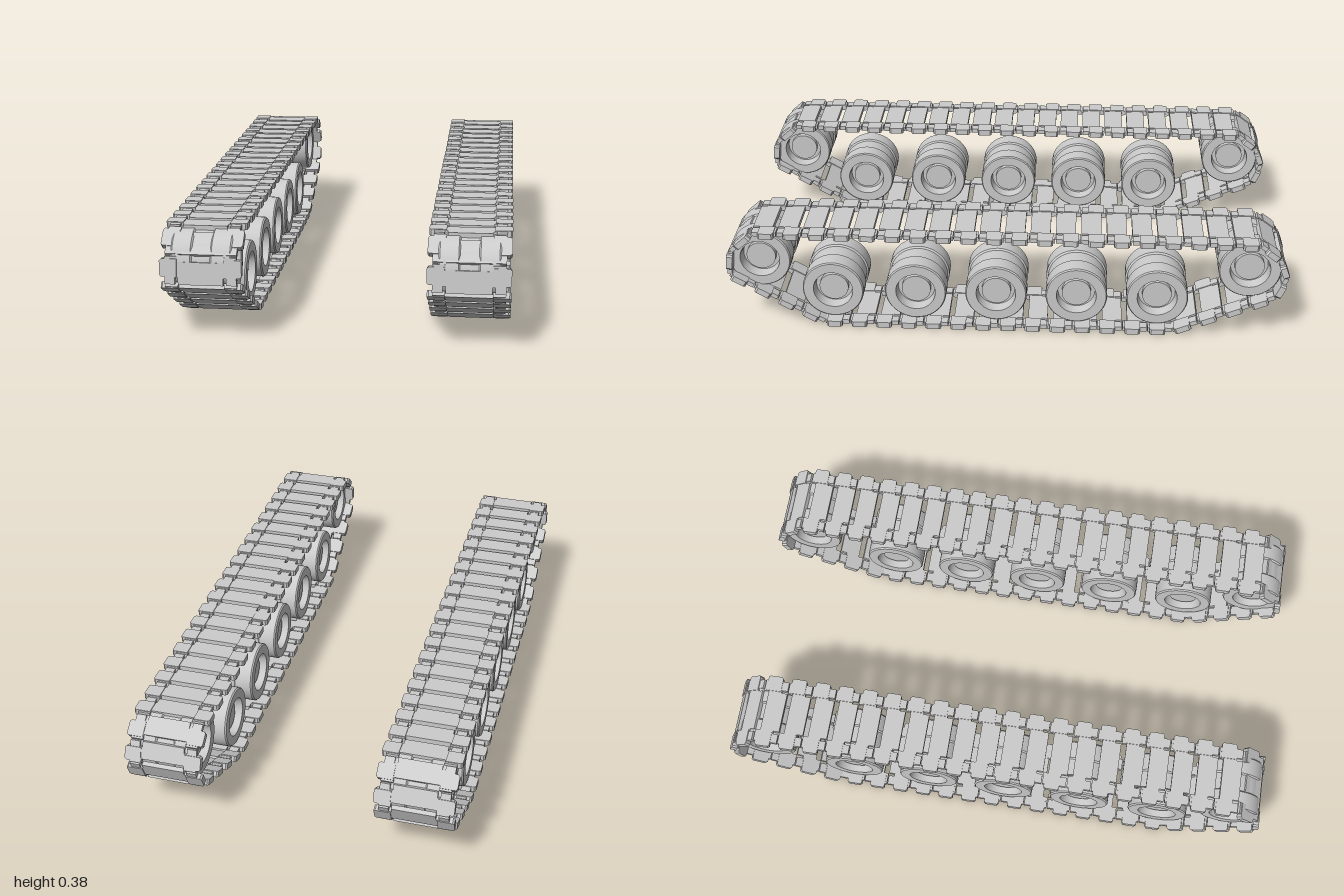
import * as THREE from 'three';
import { toCreasedNormals } from 'three/addons/utils/BufferGeometryUtils.js';

const material = new THREE.MeshStandardMaterial({ color: 0xcccccc });
const TRACK_X = 0.433;
const PITCH = 0.089;

// Centre line of the track as [z, y, number of links up to the next point]
const PATH = [
  [0.89, 0.367, 20], [-0.89, 0.367, 1], [-0.96, 0.315, 1], [-0.989, 0.24, 1],
  [-0.955, 0.16, 4], [-0.6, 0.011, 14], [0.65, 0.011, 4], [0.98, 0.2, 1],
  [0.97, 0.295, 1],
];

// Road wheels and the two raised end wheels as [z, y]
const WHEELS = [
  [0.871, 0.257], [0.617, 0.134], [0.32, 0.134], [0.032, 0.134],
  [-0.255, 0.134], [-0.542, 0.134], [-0.861, 0.26],
];

// Turned wheel: tyre with a shallow middle band, dished faces and a raised hub
function wheelGeometry() {
  const half = [
    [0, 0.078], [0.052, 0.078], [0.052, 0.06], [0.066, 0.06],
    [0.071, 0.1], [0.106, 0.1], [0.11, 0.095], [0.11, 0.035], [0.104, 0.03],
  ];
  const lower = half.map(([r, h]) => new THREE.Vector2(r, -h));
  const upper = half.map(([r, h]) => new THREE.Vector2(r, h)).reverse();
  const geometry = new THREE.LatheGeometry([...lower, ...upper], 40);
  geometry.rotateZ(-Math.PI / 2);
  return toCreasedNormals(geometry, 0.5);
}

// Flat plate outline mirrored across x, extruded and laid flat
function plate(rightSide, thickness) {
  const outline = [...rightSide, ...rightSide.map(([x, z]) => [-x, z]).reverse()];
  const shape = new THREE.Shape(outline.map(([x, z]) => new THREE.Vector2(x, -z)));
  const geometry = new THREE.ExtrudeGeometry(shape, { depth: thickness, bevelEnabled: false });
  geometry.rotateX(-Math.PI / 2);
  geometry.translate(0, -thickness / 2, 0);
  return geometry;
}

// Rounded ear at the side of a link
function earGeometry() {
  const shape = new THREE.Shape();
  const [x0, x1, z0, z1, c] = [0.078, 0.135, -0.019, 0.036, 0.006];
  shape.moveTo(x0, z0);
  shape.lineTo(x1 - c, z0);
  shape.lineTo(x1, z0 + c);
  shape.lineTo(x1, z1 - c);
  shape.lineTo(x1 - c, z1);
  shape.lineTo(x0, z1);
  const geometry = new THREE.ExtrudeGeometry(shape, { depth: 0.022, bevelEnabled: false });
  geometry.rotateX(-Math.PI / 2);
  geometry.translate(0, -0.011, 0);
  return geometry;
}

export function createModel() {
  const model = new THREE.Group();
  model.name = 'trackPair';

  const wheel = wheelGeometry();
  // Link body: notch at one end, tongue at the other
  const body = plate([
    [0.074, -0.042], [0.074, -0.024], [0.084, -0.024], [0.084, -0.043],
    [0.118, -0.043], [0.118, 0.043], [0.084, 0.043], [0.084, 0.022],
    [0.074, 0.022], [0.074, 0.044],
  ].slice(3).concat([]).reduce((side, p) => [...side, p], [[0.076, -0.043], [0.076, -0.026]].reverse()), 0.016);
  const ear = earGeometry();

  function makeLink() {
    const link = new THREE.Group();
    link.name = 'trackLink';
    const center = new THREE.Mesh(body, material);
    center.name = 'linkPlate';
    link.add(center);
    for (const turn of [0, Math.PI]) {
      // Turning about the long axis puts the second ear on the other side
      const side = new THREE.Mesh(ear, material);
      side.name = 'linkEar';
      side.rotation.z = turn;
      link.add(side);
    }
    return link;
  }

  function makeTrack(name, x) {
    const track = new THREE.Group();
    track.name = name;
    track.position.x = x;

    // Links laid along every straight run of the path
    PATH.forEach(([z0, y0, count], i) => {
      const [z1, y1] = PATH[(i + 1) % PATH.length];
      const dz = z1 - z0, dy = y1 - y0;
      const step = Math.hypot(dz, dy) / count;
      for (let k = 0; k < count; k++) {
        const t = (k + 0.5) / count;
        const link = makeLink();
        link.position.set(0, y0 + dy * t, z0 + dz * t);
        link.rotation.x = Math.atan2(dy, -dz);
        link.scale.z = step / PITCH;
        track.add(link);
      }
    });

    WHEELS.forEach(([z, y], i) => {
      const mesh = new THREE.Mesh(wheel, material);
      mesh.name = i === 0 ? 'frontWheel' : i === WHEELS.length - 1 ? 'rearWheel' : 'roadWheel';
      mesh.position.set(0, y, z);
      track.add(mesh);
    });
    return track;
  }

  model.add(makeTrack('leftTrack', TRACK_X), makeTrack('rightTrack', -TRACK_X));
  return model;
}
